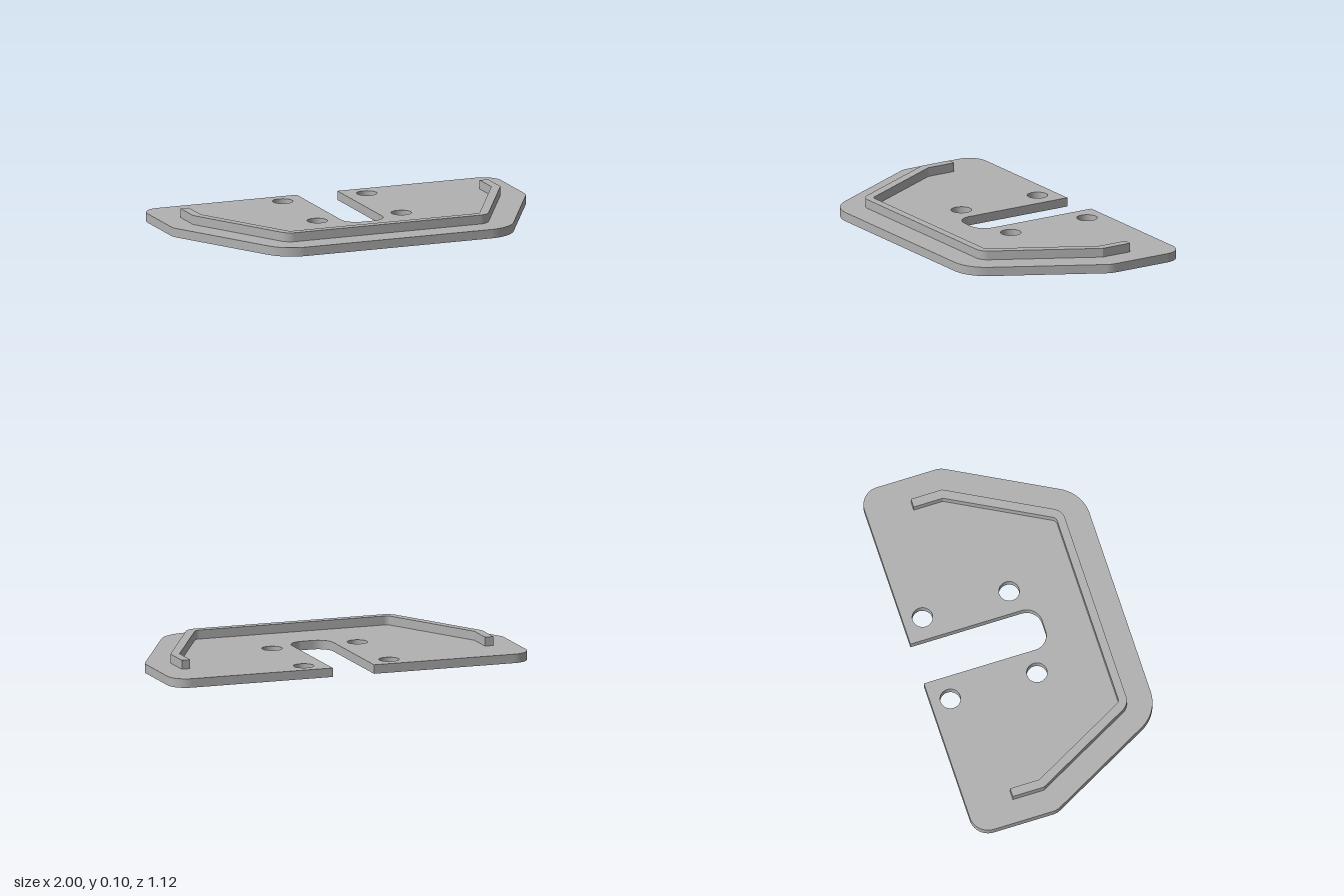
import * as THREE from 'three';
import { toCreasedNormals } from 'three/addons/utils/BufferGeometryUtils.js';

// Closed outline from [x, z, cornerRadius] corners; z is flipped for the upright extrusion
function roundedOutline(corners) {
  const shape = new THREE.Shape();
  const pts = corners.map(([x, z]) => new THREE.Vector2(x, -z));
  const n = pts.length;
  for (let i = 0; i < n; i++) {
    const p = pts[i], r = corners[i][2] || 0;
    if (r === 0) {
      if (i === 0) shape.moveTo(p.x, p.y); else shape.lineTo(p.x, p.y);
      continue;
    }
    const a = pts[(i + n - 1) % n].clone().sub(p).normalize();
    const b = pts[(i + 1) % n].clone().sub(p).normalize();
    const half = Math.acos(a.dot(b)) / 2;
    const t = r / Math.tan(half);
    const start = p.clone().addScaledVector(a, t);
    const end = p.clone().addScaledVector(b, t);
    const c = a.clone().add(b).normalize().multiplyScalar(r / Math.sin(half)).add(p);
    shape.absarc(c.x, c.y, r,
      Math.atan2(start.y - c.y, start.x - c.x),
      Math.atan2(end.y - c.y, end.x - c.x),
      a.cross(b) > 0);
  }
  shape.closePath();
  return shape;
}

// Append the mirrored half to a half outline running from one end to the other
const mirrored = (half) => [...half, ...half.map(([x, z, r]) => [-x, z, r]).reverse()];

function slab(name, shape, height, y, material) {
  const geo = new THREE.ExtrudeGeometry(shape, { depth: height, bevelEnabled: false, curveSegments: 14 });
  geo.rotateX(-Math.PI / 2);
  const mesh = new THREE.Mesh(toCreasedNormals(geo, 0.4), material);
  mesh.name = name;
  mesh.position.y = y;
  return mesh;
}

export function createModel() {
  const group = new THREE.Group();
  group.name = 'mountingPlate';
  const grey = new THREE.MeshStandardMaterial({ color: 0xb2b2b2 });
  grey.name = 'plain grey';

  // Base plate with an open slot at the back
  const plate = roundedOutline(mirrored([
    [-0.115, 0.138, 0.085],
    [-0.115, -0.558],
    [-1, -0.558, 0.1],
    [-1, -0.11, 0.1],
    [-0.64, 0.558, 0.2],
  ]));

  // Four screw holes
  for (const x of [-0.238, 0.238]) {
    for (const z of [-0.452, 0.024]) {
      const hole = new THREE.Path();
      hole.absarc(x, -z, 0.054, 0, Math.PI * 2, true);
      plate.holes.push(hole);
    }
  }
  group.add(slab('basePlate', plate, 0.048, 0, grey));

  // Raised rim: outer edge out and inner edge back
  const outer = [[-0.87, -0.313], [-0.87, -0.142], [-0.566, 0.422, 0.075]];
  const inner = [[-0.823, -0.313], [-0.823, -0.153], [-0.537, 0.378, 0.03]];
  const rim = roundedOutline([...mirrored(outer), ...mirrored(inner).reverse()]);
  const rimMesh = slab('raisedRim', rim, 0.048, 0.048, grey);
  rimMesh.position.x = -0.003;
  group.add(rimMesh);

  return group;
}
